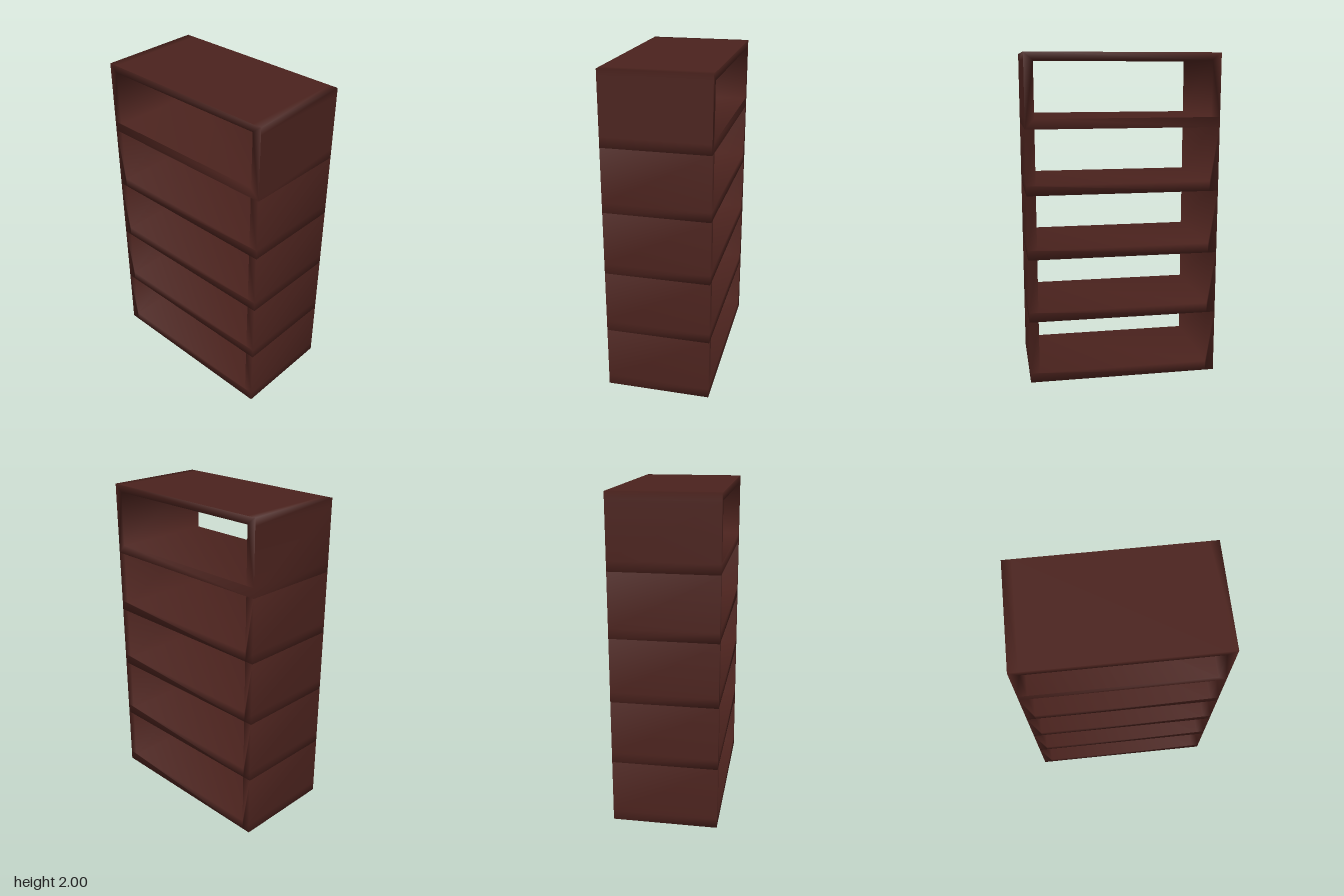
import * as THREE from 'three';
import { mergeVertices } from 'three/addons/utils/BufferGeometryUtils.js';

const WIDTH = 0.64, DEPTH = 0.585, INNER = 0.53; // x width, outer and inner half depth
const FLOOR = 0.06, STEP = 0.39, TOP_HEIGHT = 0.44, LID = 0.045;

const toPoints = (list) => list.map(([z, y]) => new THREE.Vector2(z, y));

// Extrude a (z, y) profile across the width, with softly blended normals
function extrudeProfile(shape) {
  const geo = new THREE.ExtrudeGeometry(shape, { depth: WIDTH, bevelEnabled: false });
  geo.translate(0, 0, -WIDTH / 2);
  geo.rotateY(-Math.PI / 2);
  geo.deleteAttribute('uv');
  geo.deleteAttribute('normal');
  const welded = mergeVertices(geo, 1e-4);
  welded.computeVertexNormals();
  return welded;
}

// Open tray: floor with two end walls
function trayGeometry() {
  return extrudeProfile(new THREE.Shape(toPoints([
    [-DEPTH, 0], [-INNER, 0], [INNER, 0], [DEPTH, 0],
    [DEPTH, FLOOR], [DEPTH, STEP], [INNER, STEP], [INNER, FLOOR],
    [-INNER, FLOOR], [-INNER, STEP], [-DEPTH, STEP], [-DEPTH, FLOOR],
  ])));
}

// Top compartment: closed ring with floor, end walls and lid
function topGeometry() {
  const ceiling = TOP_HEIGHT - LID;
  const shape = new THREE.Shape(toPoints([
    [-DEPTH, 0], [-INNER, 0], [INNER, 0], [DEPTH, 0],
    [DEPTH, FLOOR], [DEPTH, ceiling], [DEPTH, TOP_HEIGHT], [INNER, TOP_HEIGHT],
    [-INNER, TOP_HEIGHT], [-DEPTH, TOP_HEIGHT], [-DEPTH, ceiling], [-DEPTH, FLOOR],
  ]));
  shape.holes.push(new THREE.Path(toPoints([
    [-INNER, FLOOR], [-INNER, ceiling], [INNER, ceiling], [INNER, FLOOR],
  ])));
  return extrudeProfile(shape);
}

export function createModel() {
  const group = new THREE.Group();
  group.name = 'shelfUnit';
  const wood = new THREE.MeshStandardMaterial({ color: 0x4a221d });

  // Four stacked compartments
  const tray = trayGeometry();
  for (let i = 0; i < 4; i++) {
    const mesh = new THREE.Mesh(tray, wood);
    mesh.name = `shelfCompartment${i + 1}`;
    mesh.position.y = i * STEP;
    group.add(mesh);
  }

  // Closed compartment on top
  const top = new THREE.Mesh(topGeometry(), wood);
  top.name = 'topCompartment';
  top.position.y = 4 * STEP;
  group.add(top);
  return group;
}
